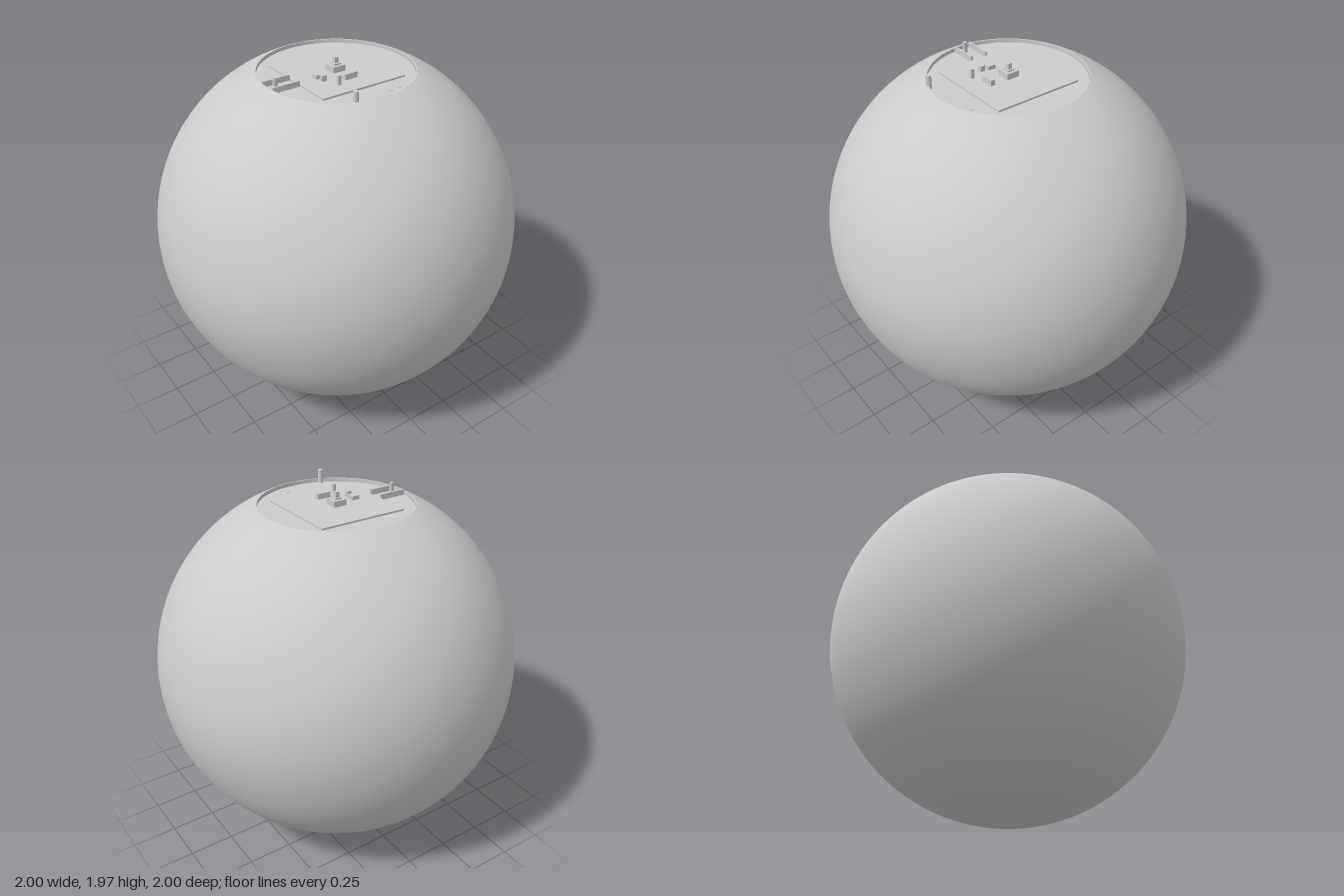
import * as THREE from 'three';

const RIM_Y = 1.91, FLOOR_Y = 1.89, SLAB_Y = 1.9;
const RIM_R = Math.sqrt(1 - 0.91 * 0.91), RECESS_R = 0.408;

export function createModel() {
  const model = new THREE.Group();
  const grey = new THREE.MeshStandardMaterial({ color: 0xcccccc });

  function add(name, geometry, x = 0, y = 0, z = 0, parent = model) {
    const mesh = new THREE.Mesh(geometry, grey);
    mesh.name = name;
    mesh.position.set(x, y, z);
    parent.add(mesh);
    return mesh;
  }
  // box standing between two heights
  function block(name, x, z, w, d, bottom, top, parent) {
    return add(name, new THREE.BoxGeometry(w, top - bottom, d), x, (bottom + top) / 2, z, parent);
  }
  function post(name, x, z, r, bottom, top, parent) {
    return add(name, new THREE.CylinderGeometry(r, r, top - bottom, 16), x, (bottom + top) / 2, z, parent);
  }

  // globe with its top cut flat
  const cut = Math.acos(0.91);
  add('globe', new THREE.SphereGeometry(1, 128, 80, 0, Math.PI * 2, cut, Math.PI - cut), 0, 1, 0);

  // narrow rim, recess wall and recess floor
  add('rim', new THREE.RingGeometry(RECESS_R, RIM_R, 128).rotateX(-Math.PI / 2), 0, RIM_Y, 0);
  const wall = [new THREE.Vector2(RECESS_R, RIM_Y), new THREE.Vector2(RECESS_R, FLOOR_Y)];
  add('recessWall', new THREE.LatheGeometry(wall, 128)).material =
    new THREE.MeshStandardMaterial({ color: 0xcccccc, side: THREE.DoubleSide });
  add('recessFloor', new THREE.CircleGeometry(RECESS_R, 128).rotateX(-Math.PI / 2), 0, FLOOR_Y, 0);

  // square terrace with a walled path leading to it
  block('terrace', 0, 0, 0.5, 0.5, FLOOR_Y, SLAB_Y);
  for (const z of [-0.05, 0.043]) block('pathWall', -0.328, z, 0.156, 0.01, FLOOR_Y, 1.92);
  block('pathPost', -0.365, 0.005, 0.018, 0.018, FLOOR_Y, 1.95);

  // stepped monument in the middle
  const monument = new THREE.Group();
  monument.name = 'monument';
  model.add(monument);
  block('monumentBase', 0, -0.005, 0.074, 0.074, SLAB_Y, 1.932, monument);
  block('monumentStep', 0, -0.005, 0.042, 0.042, 1.932, 1.94, monument);
  block('monumentPillar', 0, -0.005, 0.022, 0.022, 1.94, 1.97, monument);

  // furniture on the terrace
  block('table', -0.127, 0.022, 0.045, 0.045, SLAB_Y, 1.921);
  block('stool', -0.127, 0.072, 0.026, 0.026, SLAB_Y, 1.93);
  block('bench', 0, 0.122, 0.076, 0.026, SLAB_Y, 1.93);
  block('terracePost', -0.092, 0.157, 0.018, 0.018, SLAB_Y, 1.95);

  // pillar by the rim and small discs almost flush with the floor
  post('rimPillar', -0.15, 0.376, 0.014, FLOOR_Y, 1.962);
  for (const [x, z] of [[0.09, 0.335], [0.145, 0.33], [0.11, 0.375]])
    post('floorDisc', x, z, 0.013, FLOOR_Y, FLOOR_Y + 0.002);

  return model;
}
